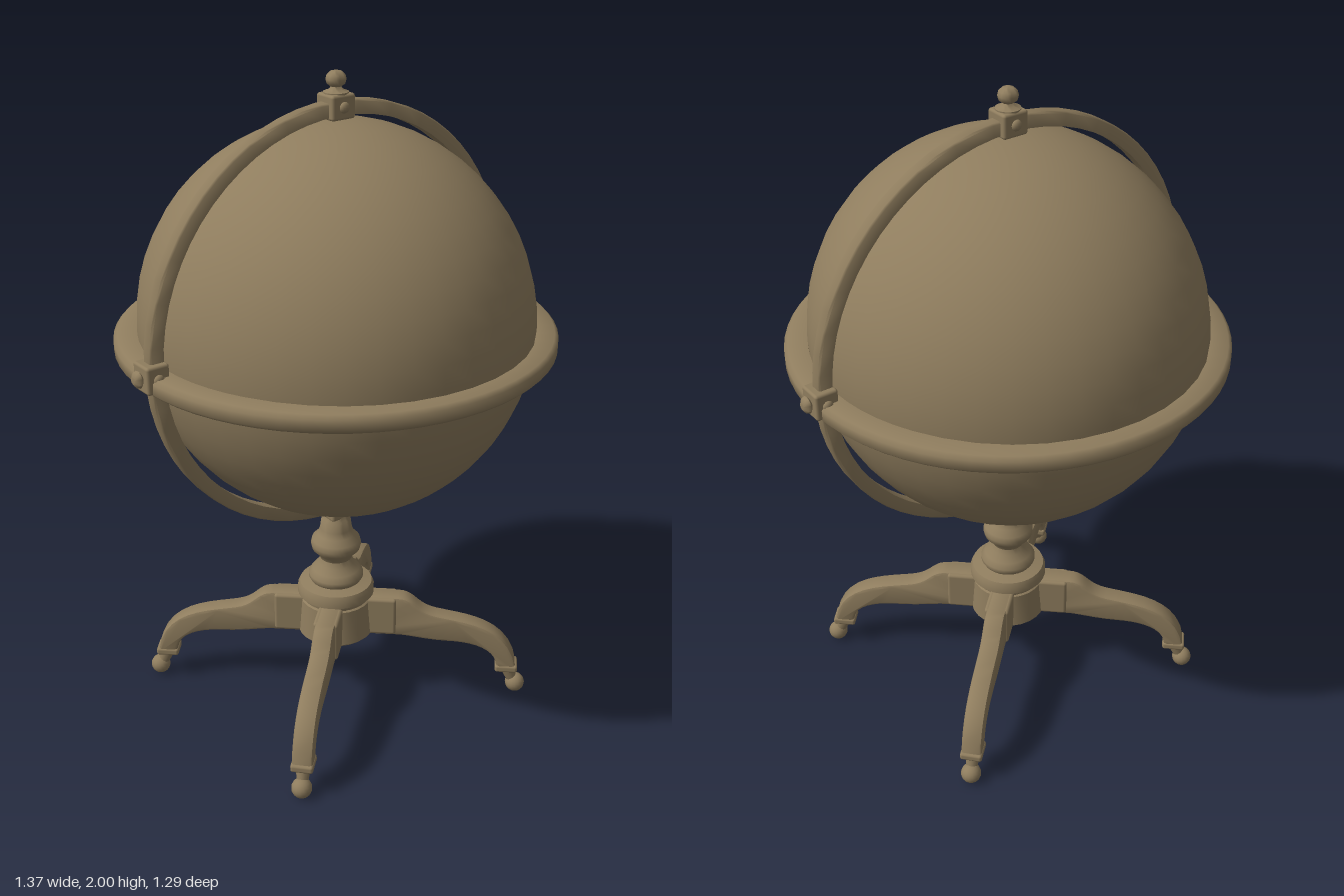
import * as THREE from 'three';
import { toCreasedNormals } from 'three/addons/utils/BufferGeometryUtils.js';
import { RoundedBoxGeometry } from 'three/addons/geometries/RoundedBoxGeometry.js';

const bronze = new THREE.MeshStandardMaterial({ color: 0x8f7d5e });
bronze.name = 'antique bronze';

const GLOBE_Y = 1.28;

function add(parent, name, geometry, x = 0, y = 0, z = 0) {
  const mesh = new THREE.Mesh(geometry, bronze);
  mesh.name = name;
  mesh.position.set(x, y, z);
  parent.add(mesh);
  return mesh;
}

// Turned part from [radius, height] pairs, bottom to top
function turned(profile, segments = 24, crease = 0.7) {
  const points = profile.map(([r, y]) => new THREE.Vector2(r, y));
  return toCreasedNormals(new THREE.LatheGeometry(points, segments), crease);
}

// Hoop with a chamfered rectangular section
function hoop(inner, outer, height, c) {
  const h = height / 2;
  return turned([
    [inner, -h], [outer - c, -h], [outer, -h + c], [outer, h - c],
    [outer - c, h], [inner, h], [inner, -h],
  ], 64, 0.9);
}

// Bracket gripping the meridian hoop, with a bolt on each broad face
function makeClip(name) {
  const clip = new THREE.Group();
  clip.name = name;
  add(clip, 'clipBlock', new RoundedBoxGeometry(0.08, 0.07, 0.076, 2, 0.008));
  for (const side of [1, -1]) {
    const bolt = add(clip, 'clipBolt', new THREE.SphereGeometry(0.016, 12, 8), 0, 0, side * 0.038);
    bolt.scale.z = 0.7;
  }
  return clip;
}

// Cabriole leg running out along +x, ending in a ball foot
function makeLeg() {
  const leg = new THREE.Group();
  leg.name = 'leg';
  const outline = new THREE.Shape();
  outline.moveTo(0.07, 0.215);
  outline.lineTo(0.07, 0.335);
  outline.lineTo(0.2, 0.335);
  outline.bezierCurveTo(0.25, 0.335, 0.25, 0.29, 0.32, 0.275);
  outline.bezierCurveTo(0.42, 0.255, 0.55, 0.25, 0.574, 0.1);
  outline.lineTo(0.53, 0.1);
  outline.bezierCurveTo(0.525, 0.18, 0.44, 0.2, 0.36, 0.2);
  outline.bezierCurveTo(0.28, 0.202, 0.24, 0.215, 0.2, 0.215);
  outline.closePath();
  const width = 0.044, bevel = 0.009;
  const geometry = new THREE.ExtrudeGeometry(outline, {
    depth: width, curveSegments: 10, bevelSize: bevel, bevelThickness: bevel, bevelSegments: 2,
  });
  geometry.translate(0, 0, -width / 2);
  add(leg, 'legCurve', toCreasedNormals(geometry, 0.6));
  // Shoulder block where the leg joins the hub
  add(leg, 'legShoulder', new RoundedBoxGeometry(0.12, 0.13, 0.078, 2, 0.01), 0.135, 0.277);
  // Ankle collar, neck and ball
  add(leg, 'ankleCollar', new RoundedBoxGeometry(0.072, 0.025, 0.068, 2, 0.008), 0.552, 0.097);
  const neck = add(leg, 'footNeck', new THREE.CylinderGeometry(0.024, 0.017, 0.055, 12), 0.563, 0.07);
  neck.rotation.z = 0.35;
  add(leg, 'footBall', new THREE.SphereGeometry(0.031, 16, 12), 0.583, 0.031);
  return leg;
}

export function createModel() {
  const model = new THREE.Group();
  model.name = 'globeOnStand';

  // Globe
  const globe = add(model, 'globe', new THREE.SphereGeometry(0.583, 40, 28), 0, GLOBE_Y, 0);
  globe.scale.set(0.985, 0.998, 1.012);

  // Upright meridian hoop and level horizon hoop
  const meridian = add(model, 'meridianHoop', hoop(0.597, 0.638, 0.04, 0.005), 0, GLOBE_Y, 0);
  meridian.rotation.x = Math.PI / 2;
  add(model, 'horizonHoop', hoop(0.577, 0.646, 0.053, 0.011), 0, 1.237, 0);

  // Top bracket with ball finial
  const top = makeClip('topClip');
  top.position.y = 1.903;
  add(top, 'topFinial', turned([
    [0.036, 0.03], [0.036, 0.038], [0.02, 0.044], [0.015, 0.052], [0.026, 0.06],
    [0.029, 0.072], [0.026, 0.084], [0.016, 0.093], [0, 0.097],
  ], 20, 0.9));
  model.add(top);

  // Side brackets with pointed finials
  for (const side of [1, -1]) {
    const clip = makeClip('sideClip');
    clip.position.set(side * 0.624, 1.26, 0);
    clip.rotation.z = -side * Math.PI / 2;
    add(clip, 'sideFinial', turned([
      [0.014, 0.03], [0.018, 0.036], [0.025, 0.042], [0.022, 0.05], [0.01, 0.058], [0, 0.062],
    ], 16, 0.9));
    model.add(clip);
  }

  // Bottom bracket
  const bottom = makeClip('bottomClip');
  bottom.position.y = 0.657;
  model.add(bottom);

  // Turned column
  add(model, 'column', turned([
    [0, 0.325], [0.105, 0.325], [0.108, 0.345], [0.121, 0.352], [0.121, 0.375], [0.114, 0.39],
    [0.08, 0.398], [0.086, 0.408], [0.086, 0.42], [0.074, 0.437], [0.056, 0.457],
    [0.05, 0.475], [0.058, 0.492], [0.075, 0.508], [0.079, 0.525], [0.075, 0.542],
    [0.057, 0.56], [0.05, 0.58], [0.046, 0.61], [0.04, 0.617], [0.036, 0.64], [0, 0.64],
  ], 32));

  // Hub and the four splayed legs
  add(model, 'hub', turned([
    [0, 0.208], [0.112, 0.208], [0.12, 0.216], [0.112, 0.33], [0.1, 0.34], [0, 0.34],
  ], 24));
  const splay = Math.atan2(0.395, 0.43);
  for (const angle of [splay, Math.PI - splay, Math.PI + splay, -splay]) {
    const leg = makeLeg();
    leg.rotation.y = angle;
    model.add(leg);
  }

  return model;
}
